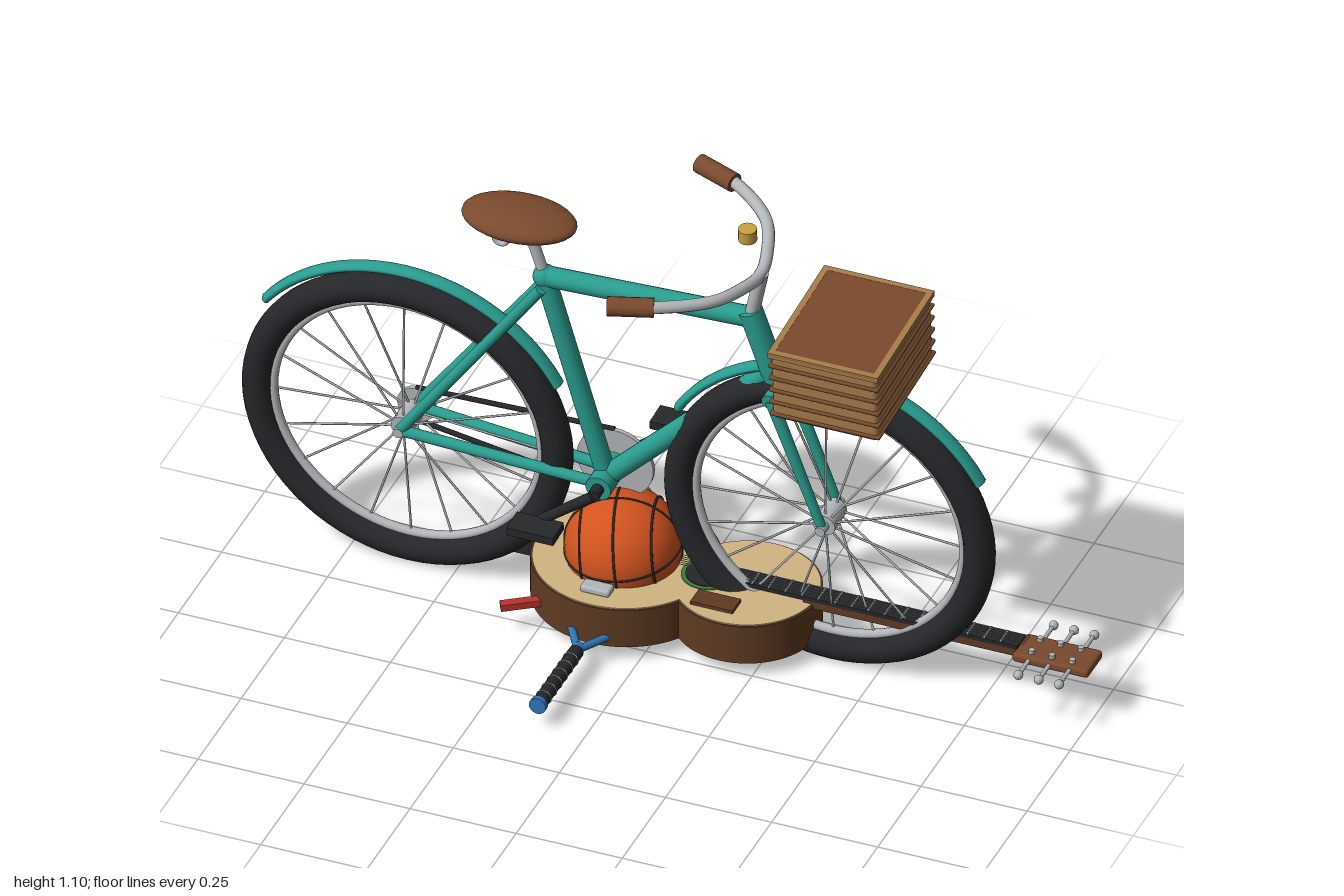
import * as THREE from 'three';
import { RoundedBoxGeometry } from 'three/addons/geometries/RoundedBoxGeometry.js';

const mat = (color) => new THREE.MeshStandardMaterial({ color });
const TEAL = mat(0x2a9d8f), BLACK = mat(0x25272a), GREY = mat(0xb4b7ba), BROWN = mat(0x7a4a2e),
  WOOD = mat(0x5e3a22), TAN = mat(0xa87c4a), SPRUCE = mat(0xd2b482), ORANGE = mat(0xd2531f),
  BLUE = mat(0x2f74b8), GOLD = mat(0xc9a040), RED = mat(0xb8302c), GREEN = mat(0x3d7a3a);
const V = (x, y, z = 0) => new THREE.Vector3(x, y, z);

function add(parent, name, geo, material, pos = V(0, 0, 0), rot = [0, 0, 0]) {
  const m = new THREE.Mesh(geo, material);
  m.name = name;
  m.position.copy(pos);
  m.rotation.set(...rot);
  parent.add(m);
  return m;
}
// cylinder running from a to b
function rod(parent, name, a, b, r, material, rEnd = r, sides = 16) {
  const d = b.clone().sub(a);
  const m = add(parent, name, new THREE.CylinderGeometry(rEnd, r, d.length(), sides), material,
    a.clone().add(b).multiplyScalar(0.5));
  m.quaternion.setFromUnitVectors(V(0, 1, 0), d.normalize());
  return m;
}
const box = (p, name, w, h, d, material, pos, rot) =>
  add(p, name, new THREE.BoxGeometry(w, h, d), material, pos, rot);

function wheel(parent, name, centre, fenderFrom, fenderTo) {
  const g = new THREE.Group();
  g.name = name;
  g.position.copy(centre);
  parent.add(g);
  add(g, 'tyre', new THREE.TorusGeometry(0.353, 0.035, 16, 72), BLACK);
  add(g, 'rim', new THREE.TorusGeometry(0.316, 0.011, 10, 72), GREY);
  rod(g, 'hub', V(0, 0, -0.035), V(0, 0, 0.035), 0.026, GREY);
  rod(g, 'axle', V(0, 0, -0.06), V(0, 0, 0.06), 0.012, GREY);
  for (let i = 0; i < 20; i++) {
    const a = i * Math.PI / 10, c = Math.cos(a), s = Math.sin(a);
    rod(g, 'spoke', V(0.02 * c, 0.02 * s, i % 2 ? 0.025 : -0.025), V(0.312 * c, 0.312 * s), 0.0028, GREY, 0.0028, 5);
  }
  // mudguard arc
  const arc = THREE.MathUtils.degToRad(fenderTo - fenderFrom);
  const f = add(g, 'mudguard', new THREE.TorusGeometry(0.408, 0.011, 10, 40, arc), TEAL, V(0, 0, 0),
    [0, 0, THREE.MathUtils.degToRad(fenderFrom)]);
  f.scale.z = 1.7;
}

function bicycle() {
  const b = new THREE.Group();
  b.name = 'bicycle';
  const rear = V(-0.608, 0.392), front = V(0.387, 0.392), bb = V(-0.14, 0.36), seat = V(-0.272, 0.88),
    headTop = V(0.213, 0.92), headLow = V(0.268, 0.745);
  wheel(b, 'rearWheel', rear, 28, 143);
  wheel(b, 'frontWheel', front, 28, 149);

  // frame
  rod(b, 'seatTube', bb, seat, 0.023, TEAL);
  rod(b, 'topTube', seat, V(0.224, 0.9), 0.024, TEAL);
  rod(b, 'downTube', bb, V(0.25, 0.755), 0.024, TEAL);
  rod(b, 'headTube', headTop, headLow, 0.028, TEAL);
  add(b, 'seatLug', new THREE.SphereGeometry(0.027, 16, 12), TEAL, seat);
  rod(b, 'bottomBracket', V(-0.14, 0.36, -0.05), V(-0.14, 0.36, 0.05), 0.03, TEAL);
  for (const s of [-1, 1]) {
    const z = s * 0.046;
    rod(b, 'chainStay', V(rear.x, rear.y, z), V(bb.x, bb.y, s * 0.03), 0.013, TEAL);
    rod(b, 'seatStay', V(rear.x, rear.y, z), V(seat.x, seat.y - 0.02, s * 0.025), 0.013, TEAL);
    rod(b, 'forkLeg', V(front.x, front.y, z), V(0.275, 0.72, z), 0.011, TEAL, 0.015);
  }
  rod(b, 'forkCrown', V(0.275, 0.72, -0.057), V(0.275, 0.72, 0.057), 0.018, TEAL);
  rod(b, 'steerer', headLow, V(0.275, 0.72), 0.02, TEAL);

  // saddle
  rod(b, 'seatPost', seat, V(-0.31, 1.01), 0.013, GREY);
  add(b, 'saddle', new THREE.SphereGeometry(1, 32, 20), BROWN, V(-0.328, 1.025)).scale.set(0.133, 0.032, 0.08);
  for (const s of [-1, 1])
    add(b, 'saddleSpring', new THREE.TorusGeometry(0.016, 0.006, 8, 16), GREY, V(-0.36, 0.985, s * 0.032));

  // handlebar
  rod(b, 'stem', V(0.217, 0.91), V(0.243, 1.03), 0.016, GREY);
  const half = [[0, 1.065, 0.265], [0.09, 1.063, 0.232], [0.19, 1.05, 0.155], [0.228, 1.035, 0.07]];
  const pts = [...half.map(([x, y, z]) => V(x, y, z)), V(0.24, 1.025, 0),
    ...half.slice().reverse().map(([x, y, z]) => V(x, y, -z))];
  add(b, 'handlebar', new THREE.TubeGeometry(new THREE.CatmullRomCurve3(pts), 60, 0.014, 12), GREY);
  for (const s of [-1, 1]) rod(b, 'grip', V(-0.012, 1.066, s * 0.268), V(0.085, 1.063, s * 0.234), 0.022, BROWN);
  rod(b, 'bell', V(0.18, 1.05, -0.075), V(0.18, 1.08, -0.075), 0.021, GOLD);

  // basket with slats
  const k = new THREE.Group();
  k.name = 'basket';
  k.position.set(0.451, 0.856, 0);
  b.add(k);
  add(k, 'basketBody', new RoundedBoxGeometry(0.25, 0.18, 0.32, 2, 0.012), TAN);
  for (let i = 0; i < 6; i++)
    add(k, 'basketBand', new RoundedBoxGeometry(0.26, 0.009, 0.33, 2, 0.004), BROWN, V(0, -0.075 + i * 0.033, 0));
  for (const s of [-1, 1]) {
    box(k, 'basketRim', 0.26, 0.014, 0.014, TAN, V(0, 0.088, s * 0.158));
    box(k, 'basketRim', 0.014, 0.014, 0.33, TAN, V(s * 0.123, 0.088, 0));
  }
  box(k, 'basketLid', 0.235, 0.006, 0.305, WOOD, V(0, 0.09, 0));

  // cranks, pedals and chain
  rod(b, 'chainring', V(bb.x, bb.y, -0.058), V(bb.x, bb.y, -0.048), 0.09, GREY, 0.09, 36);
  rod(b, 'cog', V(rear.x, rear.y, -0.058), V(rear.x, rear.y, -0.048), 0.045, GREY, 0.045, 20);
  rod(b, 'crankAxle', V(bb.x, bb.y, -0.09), V(bb.x, bb.y, 0.08), 0.014, BLACK);
  for (const s of [-1, 1]) {
    const end = V(bb.x - s * 0.125, bb.y - s * 0.098, s * 0.078);
    rod(b, 'crankArm', V(bb.x, bb.y, s * 0.078), end, 0.012, BLACK);
    box(b, 'pedal', 0.11, 0.02, 0.062, BLACK, end.clone().add(V(0, 0, s * 0.036)));
  }
  for (const s of [-1, 1])
    rod(b, 'chain', V(rear.x, rear.y + s * 0.045, -0.053), V(bb.x, bb.y + s * 0.09, -0.053), 0.006, BLACK, 0.006, 8);

  // the bicycle leans slightly
  b.position.z = -0.14;
  b.rotation.x = 0.065;
  return b;
}

// two overlapping bouts, grown or shrunk by d
function boutShape(d) {
  const r1 = 0.21 + d, r2 = 0.165 + d, c1 = -0.105, c2 = 0.18, gap = c2 - c1;
  const m = (gap * gap + r1 * r1 - r2 * r2) / (2 * gap);
  const a1 = Math.acos(m / r1), a2 = Math.acos((m - gap) / r2);
  const s = new THREE.Shape();
  s.absarc(c1, 0, r1, a1, 2 * Math.PI - a1, false);
  s.absarc(c2, 0, r2, -a2, a2, false);
  return s;
}

function guitar() {
  const g = new THREE.Group();
  g.name = 'guitar';
  g.position.z = -0.145;
  const slab = (name, d, depth, y, m) => add(g, name,
    new THREE.ExtrudeGeometry(boutShape(d), { depth, bevelEnabled: false, curveSegments: 40 }), m,
    V(0, y, 0), [-Math.PI / 2, 0, 0]);
  slab('guitarBody', 0, 0.097, 0.04, WOOD);
  slab('guitarTop', -0.004, 0.004, 0.136, SPRUCE);
  slab('guitarBack', -0.02, 0.002, 0.0385, BLACK);
  const disc = (name, r, y, m) => rod(g, name, V(0.09, 0.138, 0), V(0.09, y, 0), r, m, r, 32);
  disc('rosette', 0.062, 0.142, GREEN);
  disc('soundHole', 0.052, 0.144, BLACK);
  box(g, 'pickguard', 0.1, 0.008, 0.05, WOOD, V(0.145, 0.144, 0.098));
  box(g, 'neck', 0.52, 0.02, 0.045, WOOD, V(0.58, 0.138, 0));
  box(g, 'fretboard', 0.67, 0.01, 0.048, BLACK, V(0.49, 0.152, 0));
  for (let i = 0; i < 16; i++) box(g, 'fret', 0.004, 0.004, 0.047, GREY, V(0.2 + i * 0.039, 0.157, 0));
  for (let i = 0; i < 6; i++) {
    const z = -0.0175 + i * 0.007;
    rod(g, 'string', V(0.02, 0.161, z), V(0.84, 0.161, z), 0.0012, GREY, 0.0012, 4);
  }
  add(g, 'headstock', new RoundedBoxGeometry(0.18, 0.022, 0.09, 2, 0.008), BROWN, V(0.91, 0.138, 0));
  for (const x of [0.86, 0.908, 0.956]) for (const s of [-1, 1]) {
    rod(g, 'tunerShaft', V(x, 0.14, s * 0.03), V(x, 0.14, s * 0.1), 0.005, GREY, 0.005, 8);
    add(g, 'tunerKnob', new THREE.SphereGeometry(0.011, 12, 8), GREY, V(x, 0.14, s * 0.102));
    rod(g, 'tunerPost', V(x, 0.145, s * 0.025), V(x, 0.158, s * 0.025), 0.007, GREY);
  }
  return g;
}

function ball() {
  const g = new THREE.Group();
  g.name = 'ball';
  g.position.set(-0.11, 0.171, -0.14);
  g.rotation.set(0.1, 0.25, 0.08);
  add(g, 'ballSkin', new THREE.SphereGeometry(0.13, 40, 28), ORANGE);
  for (const rot of [[0, 0, 0], [0, Math.PI / 2, 0], [Math.PI / 2, 0, 0]])
    add(g, 'seam', new THREE.TorusGeometry(0.1295, 0.003, 6, 60), BLACK, V(0, 0, 0), rot);
  for (const s of [-1, 1])
    add(g, 'sideSeam', new THREE.TorusGeometry(0.1025, 0.003, 6, 60), BLACK, V(s * 0.08, 0, 0), [0, Math.PI / 2, 0]);
  return g;
}

function racket() {
  const g = new THREE.Group();
  g.name = 'racket';
  g.position.set(-0.11, 0.06, 0);
  add(g, 'racketHead', new THREE.TorusGeometry(0.13, 0.009, 8, 40), BLUE, V(0, 0, -0.1), [Math.PI / 2, 0, 0]);
  for (const s of [-1, 1]) rod(g, 'throat', V(s * 0.045, 0, 0.05), V(0, 0, 0.125), 0.009, BLUE);
  rod(g, 'shaft', V(0, 0, 0.11), V(0, 0, 0.14), 0.012, BLUE);
  rod(g, 'handle', V(0, 0, 0.132), V(0, 0, 0.35), 0.017, BLACK);
  rod(g, 'endCap', V(0, 0, 0.345), V(0, 0, 0.358), 0.02, BLUE);
  for (let i = 0; i < 6; i++)
    add(g, 'gripRing', new THREE.TorusGeometry(0.017, 0.0018, 6, 20), GREY, V(0, 0, 0.165 + i * 0.031));
  return g;
}

export function createModel() {
  const root = new THREE.Group();
  root.name = 'bicycleStillLife';
  root.add(bicycle(), guitar(), ball(), racket());
  // stand leaning from the crank to the guitar
  rod(root, 'kickstand', V(-0.12, 0.37, -0.165), V(-0.07, 0.14, -0.305), 0.009, GREY);
  // small objects around the body
  const c = new THREE.Group();
  c.name = 'darkCase';
  c.position.set(-0.355, 0.066, -0.22);
  root.add(c);
  add(c, 'caseBody', new RoundedBoxGeometry(0.15, 0.046, 0.068, 2, 0.006), BLACK);
  for (const x of [-0.035, 0.015]) rod(c, 'caseKnob', V(x, 0.02, 0), V(x, 0.04, 0), 0.012, GREY);
  box(root, 'redTool', 0.09, 0.016, 0.022, RED, V(-0.285, 0.072, 0.025), [0, 0.5, 0.08]);
  add(root, 'smallTin', new RoundedBoxGeometry(0.07, 0.018, 0.036, 2, 0.007), GREY, V(-0.112, 0.148, 0.008));
  return root;
}
